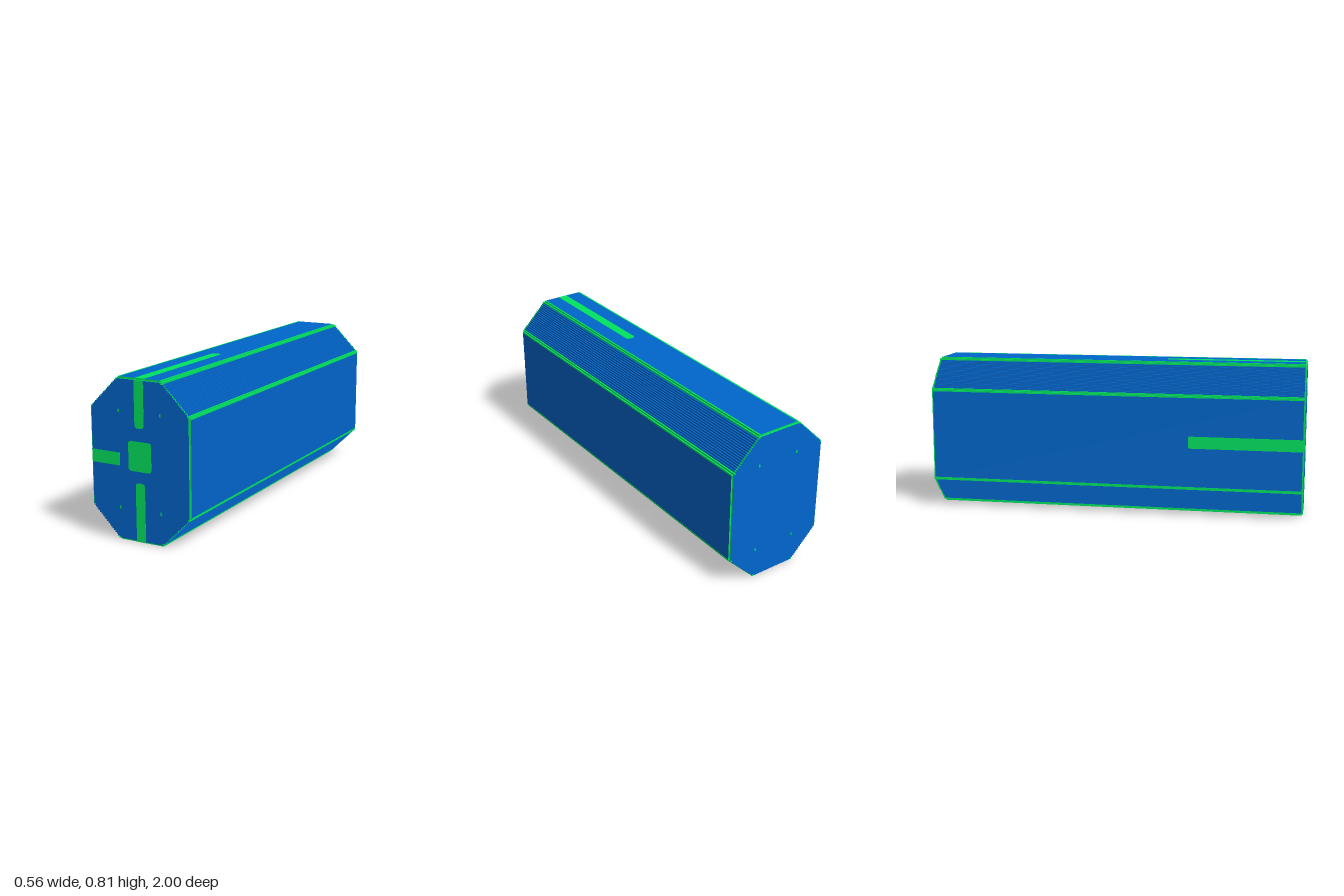
import * as THREE from 'three';

const U = 2 / 249;        // grid cell
const HW = 35, HH = 101;  // half width and full height in cells
const FLAT = 15;          // half width of the flat top and bottom
const STEPS = HW - FLAT;
const H = HH * U;
const T = 0.0008;         // thickness of painted plates

export function createModel() {
  const blue = new THREE.MeshStandardMaterial({ color: 0x0066cc });
  blue.name = 'blue';
  const green = new THREE.MeshStandardMaterial({ color: 0x00e460 });
  green.name = 'green';
  const root = new THREE.Group();
  root.name = 'steppedOctagonBlock';

  const add = (name, geometry, material) => {
    const mesh = new THREE.Mesh(geometry, material);
    mesh.name = name;
    root.add(mesh);
    return mesh;
  };

  // Octagon with stepped corners; its four straight edges are cut back by k cells
  const octagon = (k) => {
    const right = [];
    for (let i = k; i < STEPS - k; i++) right.push([FLAT + i, i], [FLAT + i, i + 1]);
    right.push([HW - k, STEPS - k]);
    const half = [...right, ...right.map(([x, y]) => [x, HH - y]).reverse()];
    const outline = [...half, ...half.map(([x, y]) => [-x, y]).reverse()];
    return new THREE.Shape(outline.map(([x, y]) => new THREE.Vector2(x * U, y * U)));
  };

  // Long body, with a narrower green-rimmed slice at each end that leaves a green ledge
  const slab = (name, k, z, depth, materials) => {
    const geometry = new THREE.ExtrudeGeometry(octagon(k), { depth, bevelEnabled: false });
    add(name, geometry, materials).position.z = z;
  };
  slab('body', 0, -1 + U, 2 - 2 * U, [green, blue]);
  slab('frontSlice', 1, 1 - U, U, [blue, green]);
  slab('backSlice', 1, -1, U, [blue, green]);

  // Green rails along the long edges
  const box = (name, x, y, z, w, h, d) =>
    add(name, new THREE.BoxGeometry(w, h, d), green).position.set(x, y, z);
  for (const sx of [-1, 1]) {
    for (const up of [0, 1]) {
      const rail = (name, cx, cy, length) =>
        box(name, sx * cx * U, (up ? HH - cy : cy) * U, 0, U + T, U + T, length + T);
      rail('flatEdgeRail', FLAT - 0.5, 0.5, 2 - 2 * U);
      rail('firstStepRail', FLAT + 0.5, 1.5, 2);
      rail('lastStepRail', HW - 1.5, STEPS - 0.5, 2);
      rail('sideEdgeRail', HW - 0.5, STEPS + 0.5, 2 - 2 * U);
      // small markers on both ends
      for (const z of [-1, 1]) {
        const y = (up ? HH - STEPS - 0.5 : STEPS + 0.5) * U;
        box('endMarker', sx * (FLAT - 0.5) * U, y, z, 1.1 * U, 1.9 * U, T);
      }
    }
  }

  // Stripe starting square at an edge and running along dir, with a rounded far end
  const stripe = (name, start, dir, normal, width, length, r) => {
    const w = width / 2;
    const s = new THREE.Shape();
    s.moveTo(-w, 0);
    s.lineTo(w, 0);
    s.lineTo(w, length - r);
    s.quadraticCurveTo(w, length, w - r, length);
    s.lineTo(r - w, length);
    s.quadraticCurveTo(-w, length, -w, length - r);
    s.closePath();
    const geometry = new THREE.ExtrudeGeometry(s, { depth: T, bevelEnabled: false, curveSegments: 5 });
    const y = new THREE.Vector3(...dir), z = new THREE.Vector3(...normal);
    const x = new THREE.Vector3().crossVectors(y, z);
    geometry.applyMatrix4(new THREE.Matrix4().makeBasis(x, y, z));
    add(name, geometry, green).position.set(...start);
  };
  const W = 0.052, R = 0.02, E = 1 - U;
  stripe('frontLowerStripe', [0, U, 1], [0, 1, 0], [0, 0, 1], W, 0.3 - U, R);
  stripe('frontUpperStripe', [0, H - U, 1], [0, -1, 0], [0, 0, 1], W, 0.242 - U, R);
  stripe('frontSideStripe', [(1 - HW) * U, 0.407, 1], [1, 0, 0], [0, 0, 1], 0.064, 0.167 - U, 0.0005);
  stripe('topStripe', [0, H, E], [0, 0, -1], [0, 1, 0], W, 0.75 - U, R);
  stripe('bottomStripe', [0, 0, E], [0, 0, -1], [0, -1, 0], W, 0.61 - U, R);
  stripe('sideStripe', [-HW * U, 0.407, E], [0, 0, -1], [-1, 0, 0], 0.064, 0.6 - U, 0.0005);

  // Rounded square in the middle of the front, as two mirrored halves
  stripe('frontSquareUpper', [0, 0.431, 1], [0, 1, 0], [0, 0, 1], 0.129, 0.074, 0.016);
  stripe('frontSquareLower', [0, 0.431, 1], [0, -1, 0], [0, 0, 1], 0.129, 0.074, 0.016);

  return root;
}
